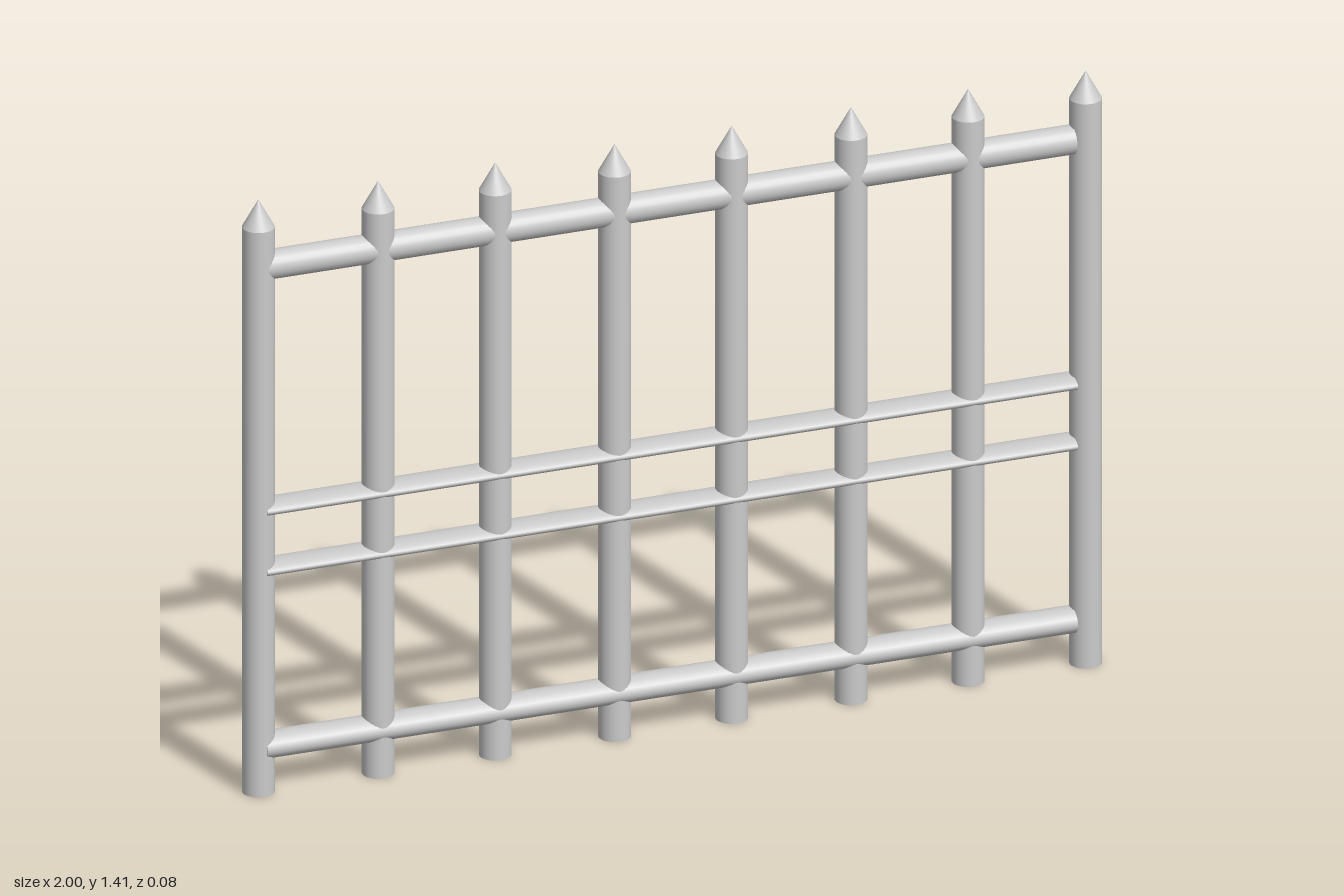
import * as THREE from 'three';

const POST_RADIUS = 0.036;
const SHAFT_TOP = 1.345;
const POST_TOP = 1.41;

export function createModel() {
  const model = new THREE.Group();
  model.name = 'fence';
  const material = new THREE.MeshStandardMaterial({ color: 0xcccccc });

  const add = (parent, name, geometry) => {
    const mesh = new THREE.Mesh(geometry, material);
    mesh.name = name;
    parent.add(mesh);
    return mesh;
  };

  // Upright round posts with pointed tips
  const shaftGeometry = new THREE.CylinderGeometry(POST_RADIUS, POST_RADIUS, SHAFT_TOP, 24);
  const tipGeometry = new THREE.ConeGeometry(POST_RADIUS, POST_TOP - SHAFT_TOP, 24);
  const postX = [-0.964, -0.685, -0.412, -0.134, 0.139, 0.417, 0.69, 0.964];
  postX.forEach((x, i) => {
    const post = new THREE.Group();
    post.name = `post${i + 1}`;
    post.position.x = x;
    add(post, 'postShaft', shaftGeometry).position.y = SHAFT_TOP / 2;
    add(post, 'postTip', tipGeometry).position.y = (SHAFT_TOP + POST_TOP) / 2;
    model.add(post);
  });

  // Horizontal rails with an oval section: half height and half depth
  const rails = [
    { name: 'topRail', y: 1.251, halfHeight: 0.033, halfDepth: 0.034 },
    { name: 'upperMiddleRail', y: 0.676, halfHeight: 0.015, halfDepth: 0.039 },
    { name: 'lowerMiddleRail', y: 0.532, halfHeight: 0.015, halfDepth: 0.039 },
    { name: 'bottomRail', y: 0.108, halfHeight: 0.029, halfDepth: 0.039 },
  ];
  const start = -0.957, end = 0.932;
  for (const { name, y, halfHeight, halfDepth } of rails) {
    const geometry = new THREE.CylinderGeometry(1, 1, end - start, 24);
    geometry.rotateZ(Math.PI / 2);
    geometry.scale(1, halfHeight, halfDepth);
    add(model, name, geometry).position.set((start + end) / 2, y, 0);
  }

  return model;
}
